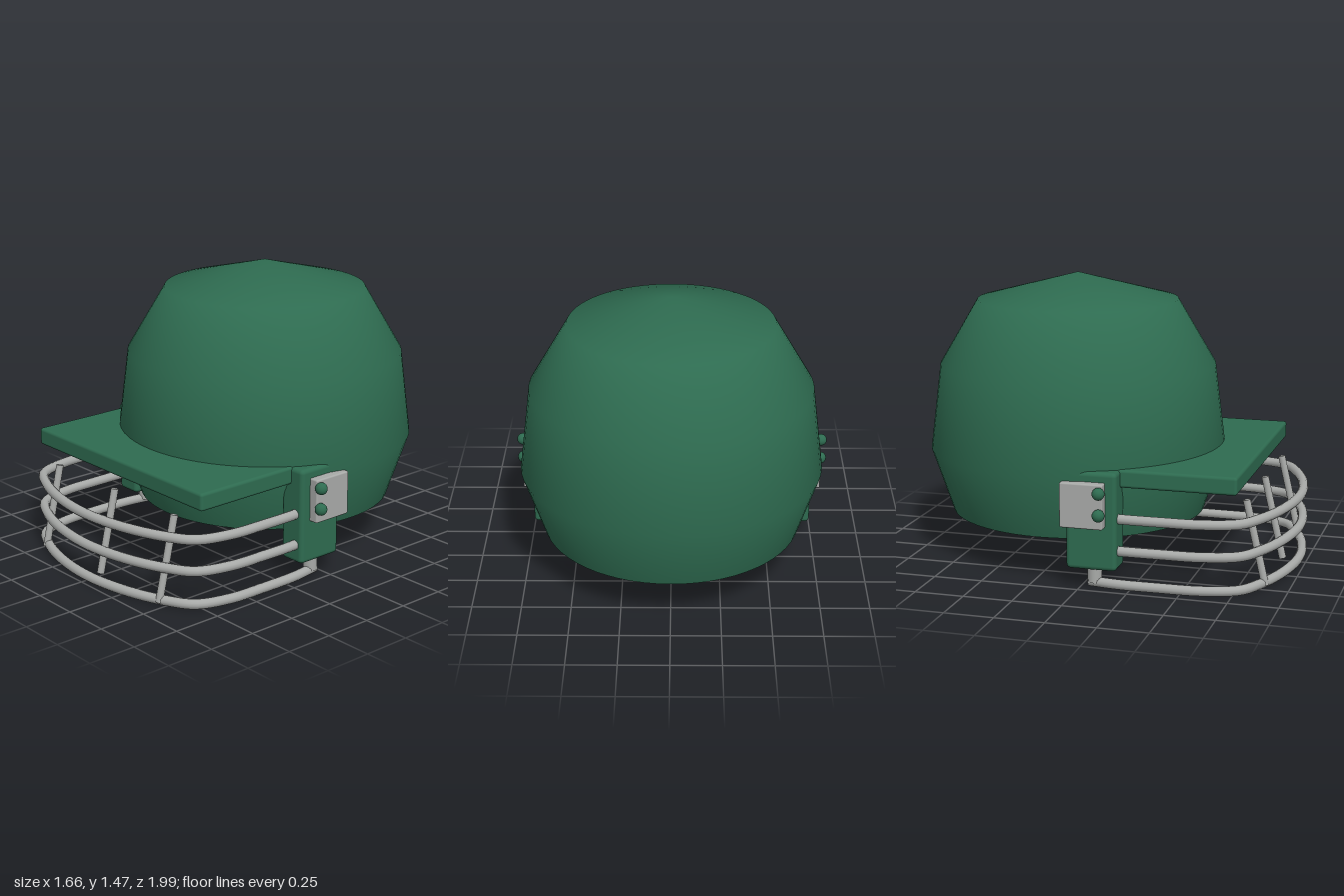
import * as THREE from 'three';
import { RoundedBoxGeometry } from 'three/addons/geometries/RoundedBoxGeometry.js';

const green = new THREE.MeshStandardMaterial({ color: 0x2e6b50 });
green.name = 'shell green';
const steel = new THREE.MeshStandardMaterial({ color: 0xa8aaa8 });
steel.name = 'steel grey';

const v3 = (x, y, z) => new THREE.Vector3(x, y, z);

function add(parent, name, geometry, material, x = 0, y = 0, z = 0) {
  const mesh = new THREE.Mesh(geometry, material);
  mesh.name = name;
  mesh.position.set(x, y, z);
  parent.add(mesh);
  return mesh;
}

const lathe = (pts) => new THREE.LatheGeometry(pts.map(([r, y]) => new THREE.Vector2(r, y)), 64);

// Rounded box given by its lower and upper corners
function block(parent, name, material, lo, hi, radius) {
  const size = hi.clone().sub(lo);
  const c = lo.clone().add(hi).multiplyScalar(0.5);
  return add(parent, name, new RoundedBoxGeometry(size.x, size.y, size.z, 3, radius), material, c.x, c.y, c.z);
}

// Straight round rod between two points
function rod(parent, name, a, b, radius) {
  const mesh = add(parent, name, new THREE.CylinderGeometry(radius, radius, a.distanceTo(b), 16), steel);
  mesh.position.copy(a).add(b).multiplyScalar(0.5);
  mesh.quaternion.setFromUnitVectors(v3(0, 1, 0), b.clone().sub(a).normalize());
}

export function createModel() {
  const model = new THREE.Group();
  model.name = 'helmet';

  // Shell: faceted profile outside, thinner copy inside, flat rim between
  const outer = [[0.665, 0.23], [0.775, 0.56], [0.72, 1.0], [0.523, 1.335], [0, 1.472]];
  const inner = [[0, 1.4], [0.48, 1.27], [0.66, 0.97], [0.71, 0.56], [0.605, 0.23]];
  const dome = lathe(outer);
  for (let i = 0; i < dome.attributes.position.count; i++) {
    if (dome.attributes.position.getY(i) > 1.45) dome.attributes.normal.setXYZ(i, 0, 1, 0);
  }
  const shell = new THREE.Group();
  shell.name = 'shell';
  shell.position.z = -0.223;
  model.add(shell);
  add(shell, 'shellOutside', dome, green);
  add(shell, 'shellInside', lathe(inner), green);
  add(shell, 'shellRim', lathe([inner[4], outer[0]]), green);

  // Flat peak over the face
  block(model, 'visor', green, v3(-0.66, 0.51, -0.02), v3(0.66, 0.6, 0.77), 0.015);

  // Ear blocks with bracket plates, bolts and the lower guard posts
  for (const [side, s] of [['left', 1], ['right', -1]]) {
    const ear = new THREE.Group();
    ear.name = side + 'EarMount';
    model.add(ear);
    const box = (name, material, x0, x1, y0, y1, z0, z1, r) =>
      block(ear, name, material, v3(Math.min(s * x0, s * x1), y0, z0), v3(Math.max(s * x0, s * x1), y1, z1), r);
    box('earBlock', green, 0.592, 0.737, 0.105, 0.598, -0.063, 0.193, 0.022);
    box('bracketPlate', steel, 0.69, 0.785, 0.325, 0.55, -0.08, 0.138, 0.008);
    for (const y of [0.402, 0.51]) {
      add(ear, 'bolt', new THREE.SphereGeometry(0.031, 20, 14), green, s * 0.8, y, 0.123);
    }
    rod(ear, 'guardPost', v3(s * 0.67, 0.03, 0.067), v3(s * 0.67, 0.14, 0.067), 0.036);
  }

  // Face guard: three curved bars
  const guard = new THREE.Group();
  guard.name = 'faceGuard';
  model.add(guard);
  const half = [[0.67, 0.04], [0.69, 0.19], [0.69, 0.4], [0.68, 0.6], [0.62, 0.775], [0.5, 0.853], [0.28, 0.93]];
  for (const y of [0.03, 0.2, 0.362]) {
    const path = new THREE.CatmullRomCurve3([
      ...half.map(([x, z]) => v3(-x, y, z)),
      v3(0, y, 0.965),
      ...half.slice().reverse().map(([x, z]) => v3(x, y, z)),
    ]);
    add(guard, 'guardBar', new THREE.TubeGeometry(path, 80, 0.025, 12), steel);
    // Closed bar ends
    for (const s of [-1, 1]) {
      add(guard, 'barEnd', new THREE.CircleGeometry(0.025, 12), steel, s * 0.67, y, 0.04).rotation.y = Math.PI;
    }
  }

  // Leaning uprights
  for (const x of [-0.47, 0, 0.47]) {
    rod(guard, 'guardUpright', v3(x, 0.02, 0.88), v3(x, 0.447, 0.78), 0.019);
  }

  return model;
}
